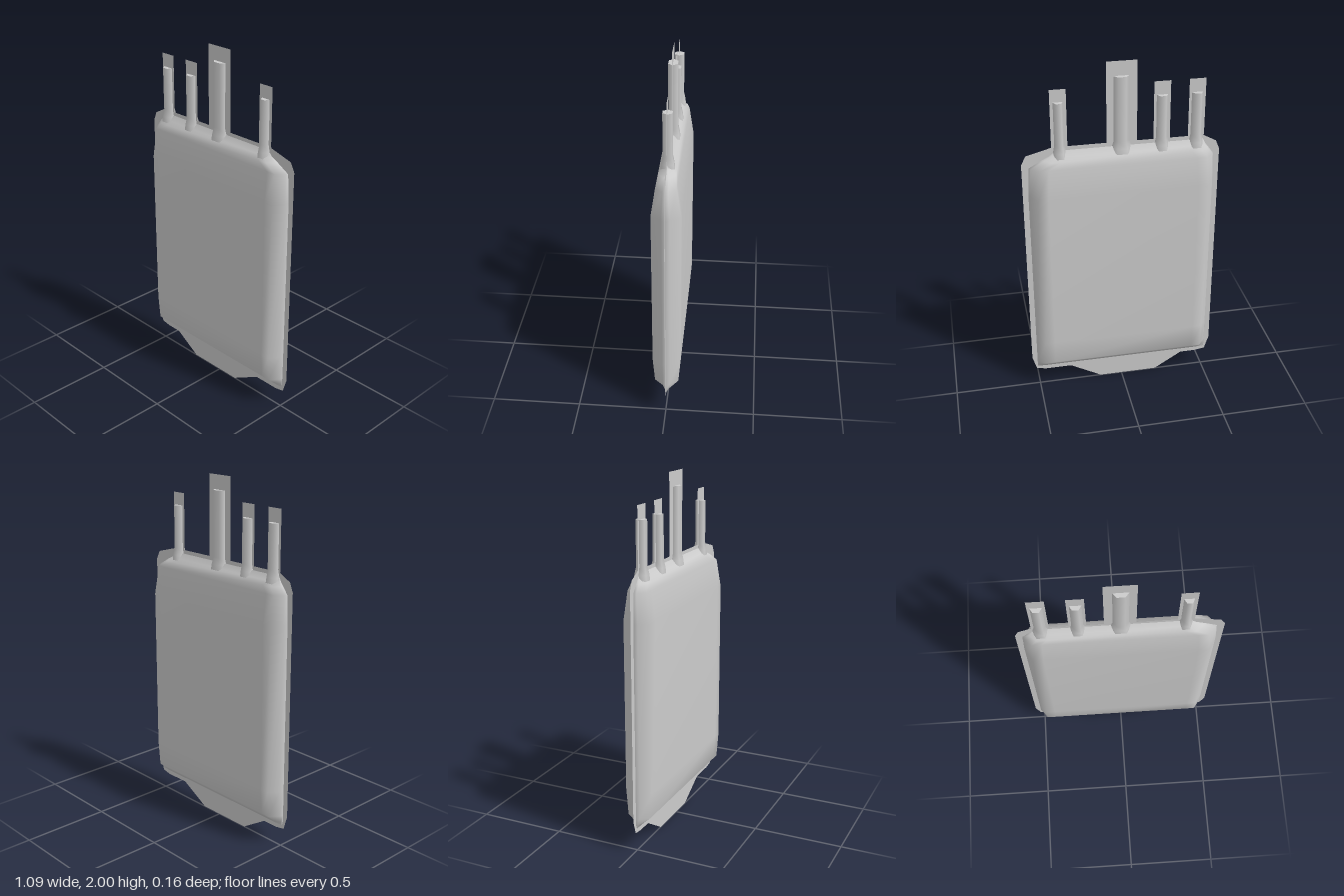
import * as THREE from 'three';

const material = new THREE.MeshStandardMaterial({ color: 0xcccccc, side: THREE.DoubleSide });

function part(name, geometry) {
  const mesh = new THREE.Mesh(geometry, material);
  mesh.name = name;
  return mesh;
}

// Flat sheet in the z = 0 plane from an outline of [x, y] points
function sheet(points) {
  return new THREE.ShapeGeometry(new THREE.Shape(points.map(([x, y]) => new THREE.Vector2(x, y))));
}

// Filled pouch: rings of [y, left x, right x, half thickness] joined bottom to top
function pouchGeometry() {
  const rings = [
    [0.13, -0.51, 0.51, 0.004],
    [0.15, -0.515, 0.51, 0.022],
    [0.19, -0.515, 0.51, 0.066],
    [0.34, -0.515, 0.51, 0.078],
    [1.28, -0.515, 0.51, 0.078],
    [1.44, -0.51, 0.50, 0.054],
    [1.48, -0.48, 0.43, 0.046],
    [1.50, -0.465, 0.39, 0.022],
    [1.53, -0.45, 0.36, 0.003],
  ];
  // Bevelled edge: inset from the side and share of the thickness
  const bevel = [[0, 0], [0.008, 0.28], [0.045, 1], [0.1, 1]];
  const positions = [];
  const indices = [];
  let n = 0;
  for (const [y, left, right, t] of rings) {
    const front = [
      ...bevel.map(([d, k]) => [right - d, t * k]),
      ...[...bevel].reverse().map(([d, k]) => [left + d, t * k]),
    ];
    const back = front.slice(1, -1).reverse().map(([x, z]) => [x, -z]);
    const ring = [...front, ...back];
    n = ring.length;
    for (const [x, z] of ring) positions.push(x, y, z - 0.002);
  }
  for (let r = 0; r < rings.length - 1; r++) {
    for (let i = 0; i < n; i++) {
      const a = r * n + i;
      const b = r * n + (i + 1) % n;
      indices.push(a, a + n, b, b, a + n, b + n);
    }
  }
  const geometry = new THREE.BufferGeometry();
  geometry.setAttribute('position', new THREE.Float32BufferAttribute(positions, 3));
  geometry.setIndex(indices);
  geometry.computeVertexNormals();
  return geometry;
}

// Flattened six-sided tube with a flared root, a flat end and a film tab around it
function port(name, { x, radius, top, left, right, filmTop }) {
  const group = new THREE.Group();
  group.name = name;
  const profile = [[1.45, 1.48], [1.3, 1.52], [1, 1.56], [1, top]].map(([r, y]) => new THREE.Vector2(r, y));
  const tube = part('tube', new THREE.LatheGeometry(profile, 6, Math.PI / 2));
  const end = part('tubeEnd', new THREE.CircleGeometry(1, 6).rotateX(-Math.PI / 2));
  end.position.y = top;
  const hex = new THREE.Group();
  hex.name = 'portTube';
  hex.scale.set(radius, 1, 0.029);
  hex.position.set(x, 0, -0.001);
  hex.add(tube, end);
  const film = part('filmTab', sheet([[left, 1.55], [right, 1.55], [right, filmTop], [left, filmTop]]));
  group.add(hex, film);
  return group;
}

export function createModel() {
  const model = new THREE.Group();
  model.name = 'fluidBag';

  model.add(part('pouch', pouchGeometry()));

  // Sealed rim with the hanging flap at the bottom
  model.add(part('sealedRim', sheet([
    [-0.545, 0.19], [-0.52, 0.11], [-0.46, 0.1], [-0.37, 0.1], [-0.21, 0], [0.13, 0],
    [0.31, 0.1], [0.46, 0.1], [0.515, 0.11], [0.54, 0.19], [0.54, 1.46], [0.515, 1.51],
    [0.37, 1.55], [-0.45, 1.55], [-0.525, 1.51], [-0.545, 1.46],
  ])));

  // Ports along the top edge
  const ports = [
    { x: -0.41, radius: 0.031, top: 1.8, left: -0.455, right: -0.365, filmTop: 1.875 },
    { x: -0.22, radius: 0.031, top: 1.8, left: -0.265, right: -0.175, filmTop: 1.875 },
    { x: 0, radius: 0.042, top: 1.92, left: -0.085, right: 0.08, filmTop: 2 },
    { x: 0.333, radius: 0.027, top: 1.8, left: 0.29, right: 0.377, filmTop: 1.87 },
  ];
  ports.forEach((p, i) => model.add(port(`port${i + 1}`, p)));

  return model;
}
